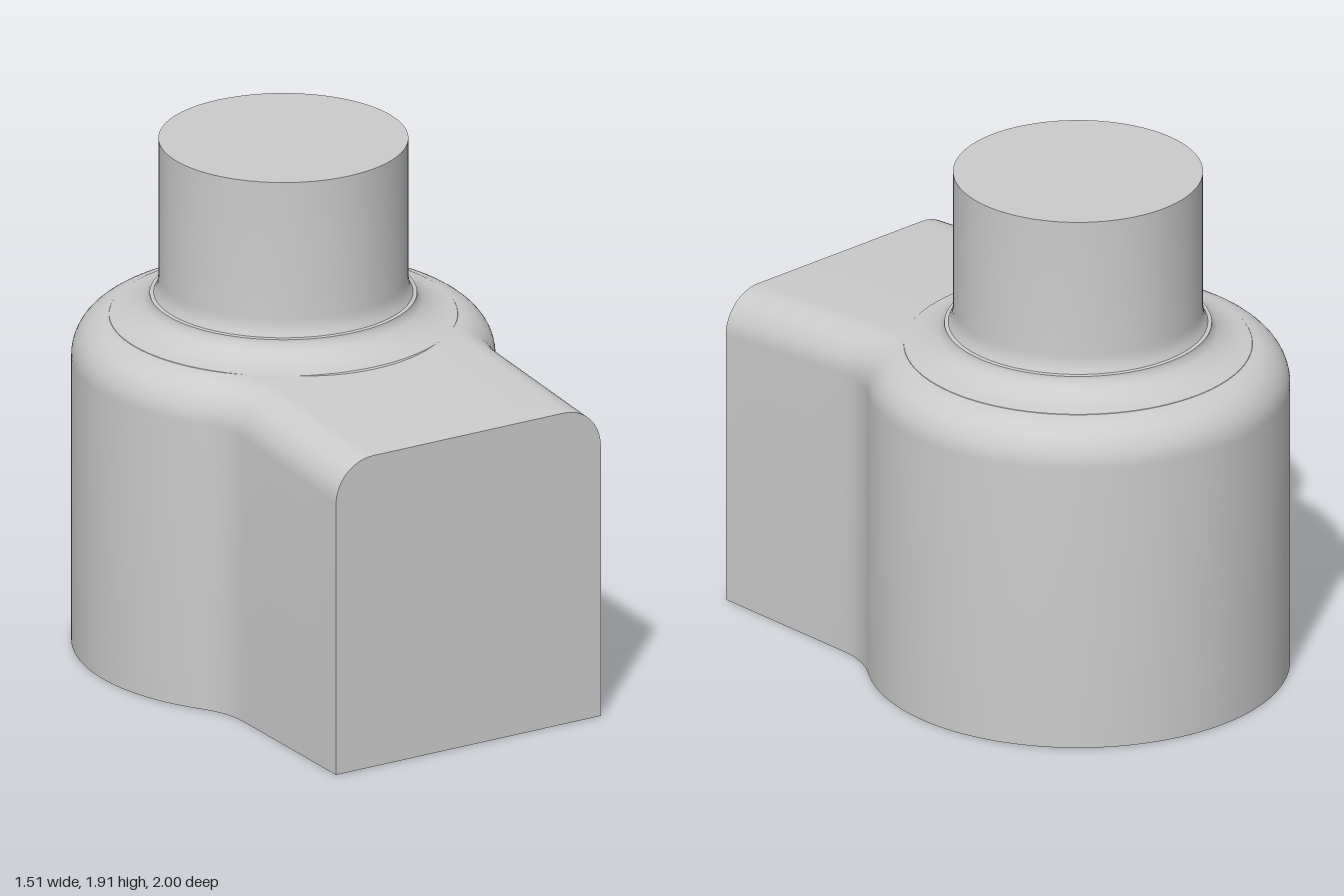
import * as THREE from 'three';
import { toCreasedNormals } from 'three/addons/utils/BufferGeometryUtils.js';

const CZ = -0.245;      // axis of the round end
const R = 0.755;        // radius of the round end
const HALF = 0.555;     // half width of the square end
const BLEND = 0.32;     // plan radius where round and square ends meet
const EDGE = 0.155;     // rounding of the top edge
const BLEND_Z = 0.38;   // where the blend meets the straight side

const topAt = z => 1.24 - Math.max(0, z - 0.3) * 0.078;

// Half outline in plan, back to front: position and outward normal
function halfOutline() {
  const pts = [];
  const end = Math.atan2(HALF + BLEND, -(BLEND_Z - CZ));
  const add = (x, z, nx, nz) => pts.push({ x, z, nx, nz });
  for (let i = 0; i <= 56; i++) {
    const a = end * i / 56, s = Math.sin(a), c = -Math.cos(a);
    add(R * s, CZ + R * c, s, c);
  }
  for (let i = 1; i <= 12; i++) {
    const a = end + (Math.PI / 2 - end) * i / 12, s = Math.sin(a), c = -Math.cos(a);
    add(HALF + BLEND - BLEND * s, BLEND_Z - BLEND * c, s, c);
  }
  for (let i = 1; i <= 4; i++) add(HALF, BLEND_Z + (1 - BLEND_Z) * i / 4, 1, 0);
  return pts;
}

// Closed section at one outline station: up the side, round the edge, mirrored down
function section(p) {
  const side = [[p.x, 0, p.z]];
  const steps = 12;
  for (let k = 0; k <= steps; k++) {
    const a = Math.PI / 2 * k / steps, inset = EDGE * (1 - Math.cos(a));
    const x = Math.max(0, p.x - p.nx * inset), z = p.z - p.nz * inset;
    side.push([x, topAt(z) - EDGE * (1 - Math.sin(a)), z]);
  }
  return [...side, ...side.slice().reverse().map(([x, y, z]) => [-x, y, z])];
}

function bodyGeometry() {
  const loops = halfOutline().map(section);
  const n = loops[0].length, pos = loops.flat(2), index = [];
  for (let i = 0; i < loops.length - 1; i++) {
    for (let j = 0; j < n; j++) {
      const a = i * n + j, b = i * n + (j + 1) % n;
      index.push(a, b, a + n, b, b + n, a + n);
    }
  }
  // flat front face
  const f = (loops.length - 1) * n;
  for (let j = 1; j < n - 1; j++) index.push(f, f + j, f + j + 1);
  const g = new THREE.BufferGeometry();
  g.setAttribute('position', new THREE.Float32BufferAttribute(pos, 3));
  g.setIndex(index);
  return toCreasedNormals(g, 0.5);
}

// Flared foot, small ledge and plain cylinder
function neckGeometry() {
  const profile = [
    [0.64, 1.215], [0.62, 1.24], [0.585, 1.245], [0.55, 1.256], [0.52, 1.271], [0.495, 1.289],
    [0.478, 1.308], [0.476, 1.323], [0.462, 1.325], [0.453, 1.342], [0.447, 1.365],
    [0.445, 1.39], [0.445, 1.91], [0, 1.91],
  ].map(([r, y]) => new THREE.Vector2(r, y));
  return toCreasedNormals(new THREE.LatheGeometry(profile, 96), 0.6);
}

export function createModel() {
  const group = new THREE.Group();
  const material = new THREE.MeshStandardMaterial({ color: 0xcccccc });
  const body = new THREE.Mesh(bodyGeometry(), material);
  body.name = 'body';
  const neck = new THREE.Mesh(neckGeometry(), material);
  neck.name = 'neck';
  neck.position.z = CZ;
  group.add(body, neck);
  return group;
}
